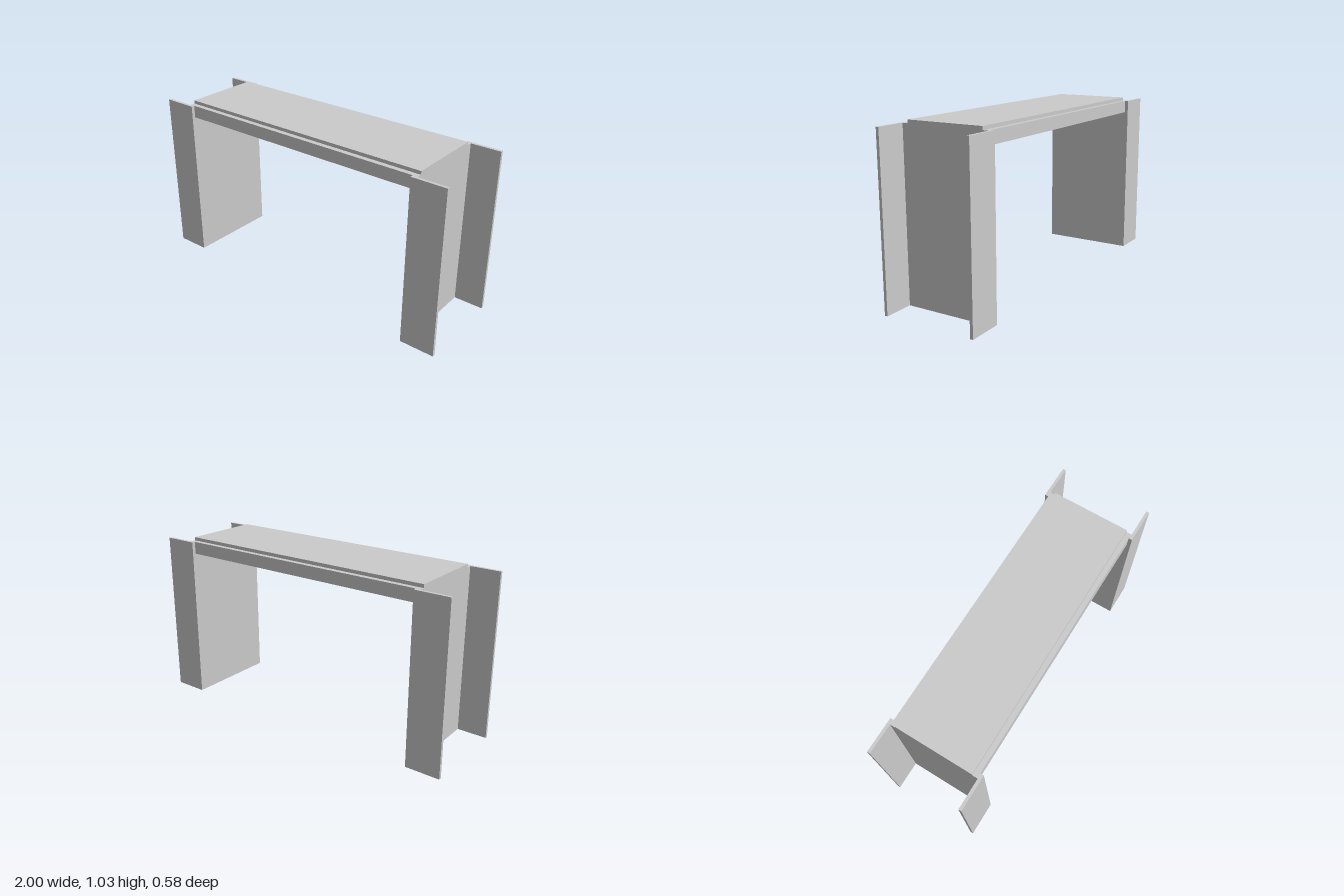
import * as THREE from 'three';

export function createModel() {
  const model = new THREE.Group();
  const material = new THREE.MeshStandardMaterial({ color: 0xcccccc, flatShading: true });

  // Box given by its lower and upper corners
  function box(name, x0, x1, y0, y1, z0, z1) {
    const mesh = new THREE.Mesh(new THREE.BoxGeometry(x1 - x0, y1 - y0, z1 - z0), material);
    mesh.position.set((x0 + x1) / 2, (y0 + y1) / 2, (z0 + z1) / 2);
    mesh.name = name;
    return mesh;
  }

  // Solid beam across the top, with a narrower slab lying on it
  model.add(box('crossBeam', -0.795, 0.795, 0.935, 1.01, -0.267, 0.267));
  model.add(box('topSlab', -0.82, 0.82, 1.01, 1.03, -0.237, 0.237));

  // Channel-shaped legs: a web with two flanges pointing outwards
  for (const side of [1, -1]) {
    const leg = new THREE.Group();
    leg.name = side > 0 ? 'leftLeg' : 'rightLeg';
    const span = (a, b) => (side > 0 ? [a, b] : [-b, -a]);
    leg.add(box('legWeb', ...span(0.79, 0.82), 0, 1.01, -0.27, 0.27));
    leg.add(box('frontFlange', ...span(0.79, 1), 0, 1.01, 0.27, 0.288));
    leg.add(box('backFlange', ...span(0.79, 1), 0, 1.01, -0.288, -0.27));
    model.add(leg);
  }

  return model;
}
